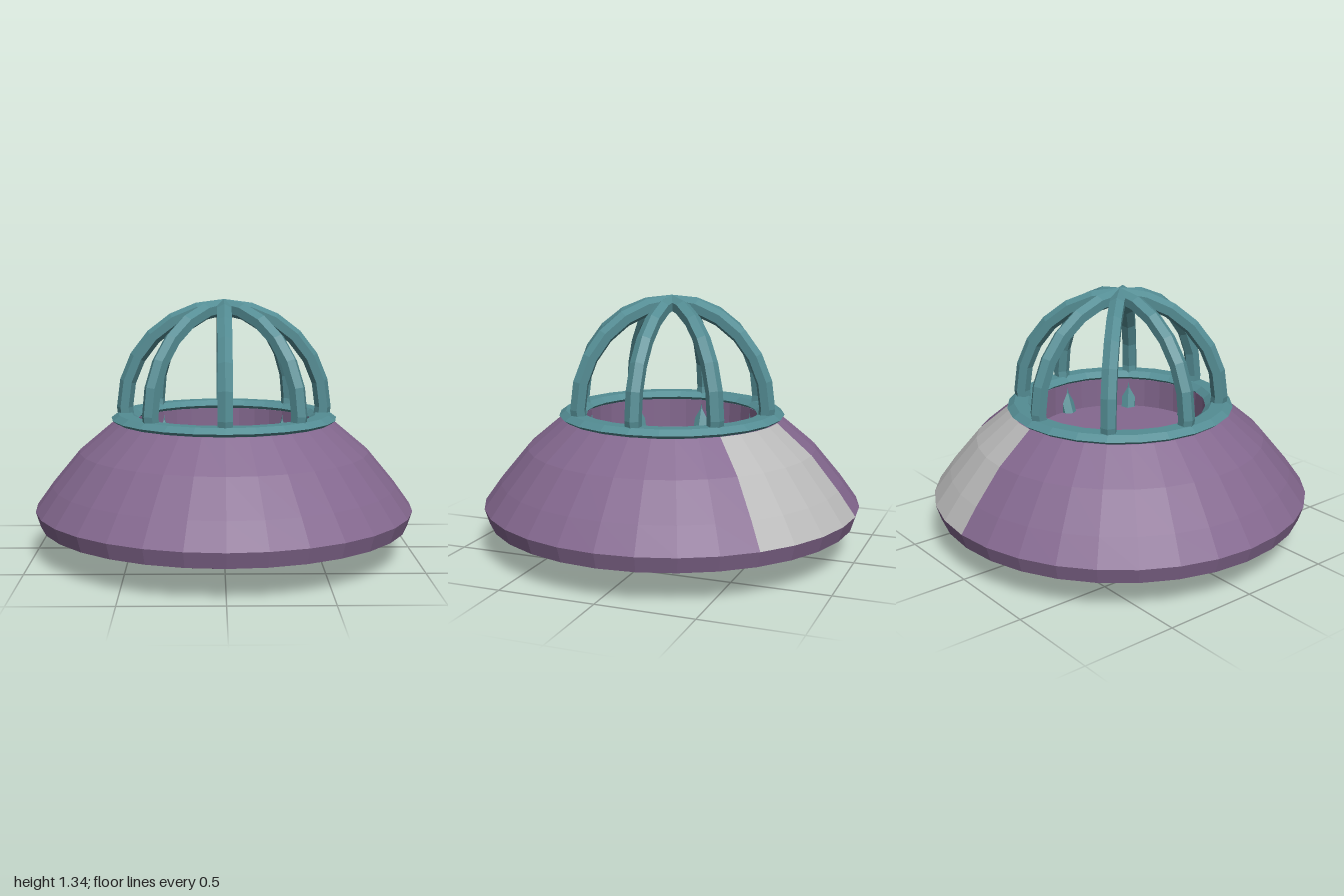
import * as THREE from 'three';

const SIDES = 32;

export function createModel() {
  const group = new THREE.Group();
  const make = (name, hex, side = THREE.FrontSide) => {
    const m = new THREE.MeshStandardMaterial({ color: hex, side, flatShading: true });
    m.name = name;
    return m;
  };
  const purple = make('hull purple', 0x84688f, THREE.DoubleSide);
  const grey = make('panel grey', 0xbababa, THREE.DoubleSide);
  const teal = make('frame teal', 0x548d94);

  const add = (name, geometry, material, parent = group) => {
    const mesh = new THREE.Mesh(geometry, material);
    mesh.name = name;
    parent.add(mesh);
    return mesh;
  };
  // Revolved band covering part of the circle, in 1/32 steps
  const band = (points, start = 0, count = SIDES) => {
    const step = (Math.PI * 2) / SIDES;
    return new THREE.LatheGeometry(
      points.map(([r, y]) => new THREE.Vector2(r, y)), count, start * step, count * step);
  };

  // Shallow underside and rim
  add('underside', band([[0, 0], [0.2, 0], [0.72, 0.09], [0.975, 0.165], [1, 0.245]]), purple);

  // Sloping upper hull with one grey section at the back left
  const slope = [[1, 0.245], [0.91, 0.37], [0.765, 0.545], [0.58, 0.7]];
  add('upperHull', band(slope, 16, 28), purple);
  add('greyPanel', band(slope, 12, 4), grey);

  // Open cockpit: lip, wall and floor
  add('cockpit', band([[0.58, 0.7], [0.47, 0.7], [0.47, 0.54], [0, 0.54]]), purple);

  // Flattened six-sided collar
  const collar = add('collar', new THREE.TorusGeometry(0.525, 0.072, 6, 24), teal);
  collar.rotation.x = -Math.PI / 2;
  collar.scale.z = 0.43;
  collar.position.y = 0.716;

  // Four crossing arches, their feet curving inward to the cockpit floor
  const cage = new THREE.Group();
  cage.name = 'canopyCage';
  cage.position.y = 0.772;
  group.add(cage);
  const arch = new THREE.TorusGeometry(0.525, 0.043, 6, 18, Math.PI * 1.5);
  arch.rotateZ(-Math.PI / 4);
  for (let i = 0; i < 4; i++) {
    add('arch', arch, teal, cage).rotation.y = (i * Math.PI) / 4;
  }
  return group;
}
